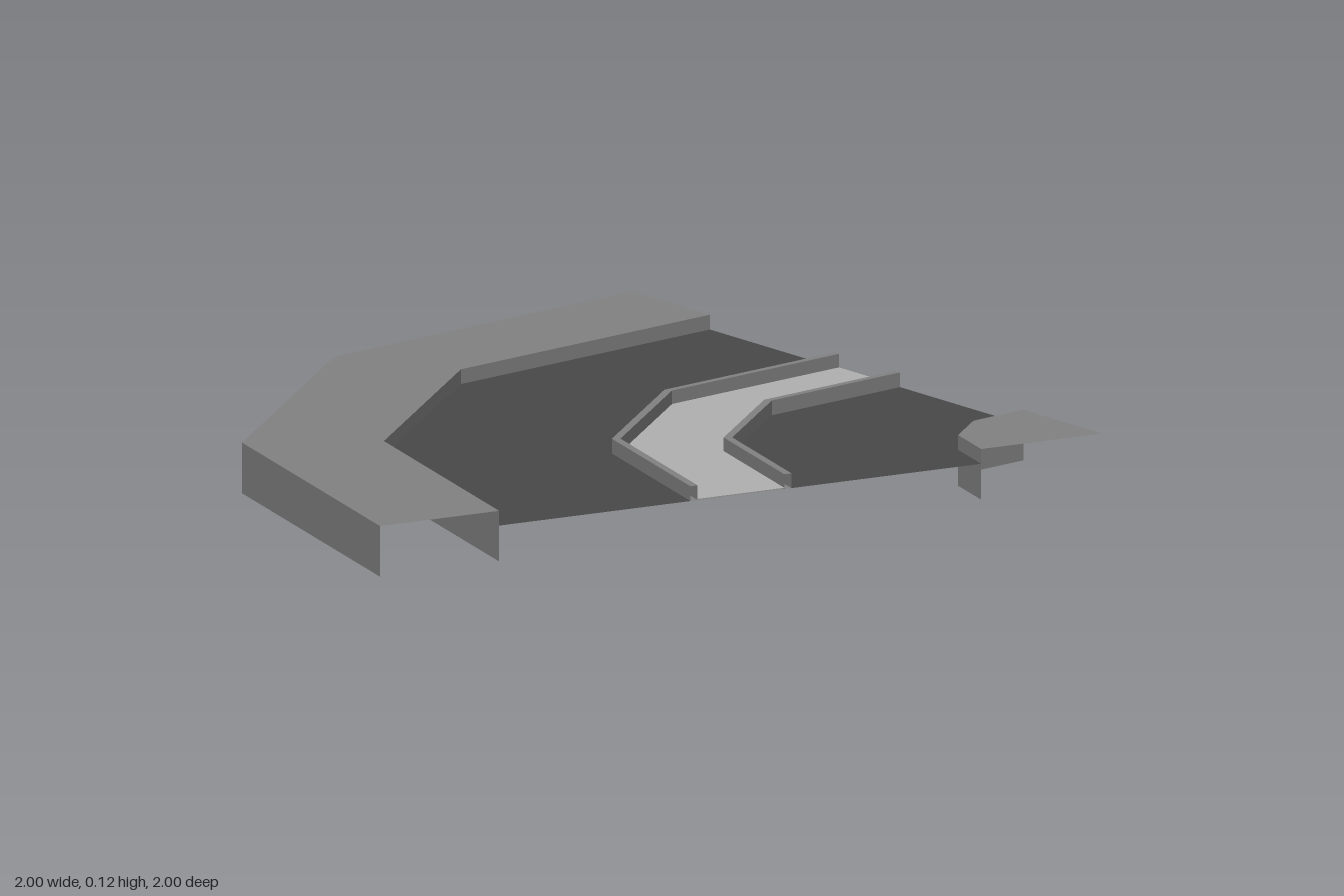
import * as THREE from 'three';

const TOP = 0.12;    // kerb and pavement height
const ROAD = 0.085;  // carriageway height

function material(name, color) {
  const m = new THREE.MeshStandardMaterial({ color, side: THREE.DoubleSide, flatShading: true });
  m.name = name;
  return m;
}

export function createModel() {
  const concrete = material('concrete grey', 0x828282);
  const asphalt = material('asphalt dark grey', 0x484848);
  const paving = material('light paving grey', 0xb0b0b0);

  const model = new THREE.Group();
  model.name = 'roadCorner';

  // Sweeps a [radius, height] profile through a quarter turn, in three flat facets, about (1, 1)
  function sweep(name, mat, profile) {
    const points = profile.map(([r, y]) => new THREE.Vector2(r, y));
    const geometry = new THREE.LatheGeometry(points, 3, Math.PI, Math.PI / 2).toNonIndexed();
    geometry.computeVertexNormals();
    geometry.translate(1, 0, 1);
    const mesh = new THREE.Mesh(geometry, mat);
    mesh.name = name;
    model.add(mesh);
  }

  // Raised strip: outer wall, top, inner wall, open underneath and at the ends
  const raised = (outer, inner, base) => [[outer, base], [outer, TOP], [inner, TOP], [inner, base]];

  // Pavements
  sweep('outerPavement', concrete, raised(2, 1.67, 0));
  sweep('innerPavement', concrete, [[0.335, 0], [0.335, TOP], [0, TOP]]);

  // Carriageways
  sweep('outerRoad', asphalt, [[1.67, ROAD], [1.14, ROAD]]);
  sweep('innerRoad', asphalt, [[0.86, ROAD], [0.335, ROAD]]);

  // Median: two kerbs, paved strip between and its underside
  sweep('medianOuterKerb', concrete, raised(1.14, 1.12, ROAD));
  sweep('medianInnerKerb', concrete, raised(0.88, 0.86, ROAD));
  sweep('medianPaving', paving, [[1.12, ROAD + 0.003], [0.88, ROAD + 0.003]]);
  sweep('medianUnderside', concrete, [[0.86, ROAD], [1.14, ROAD]]);

  return model;
}
